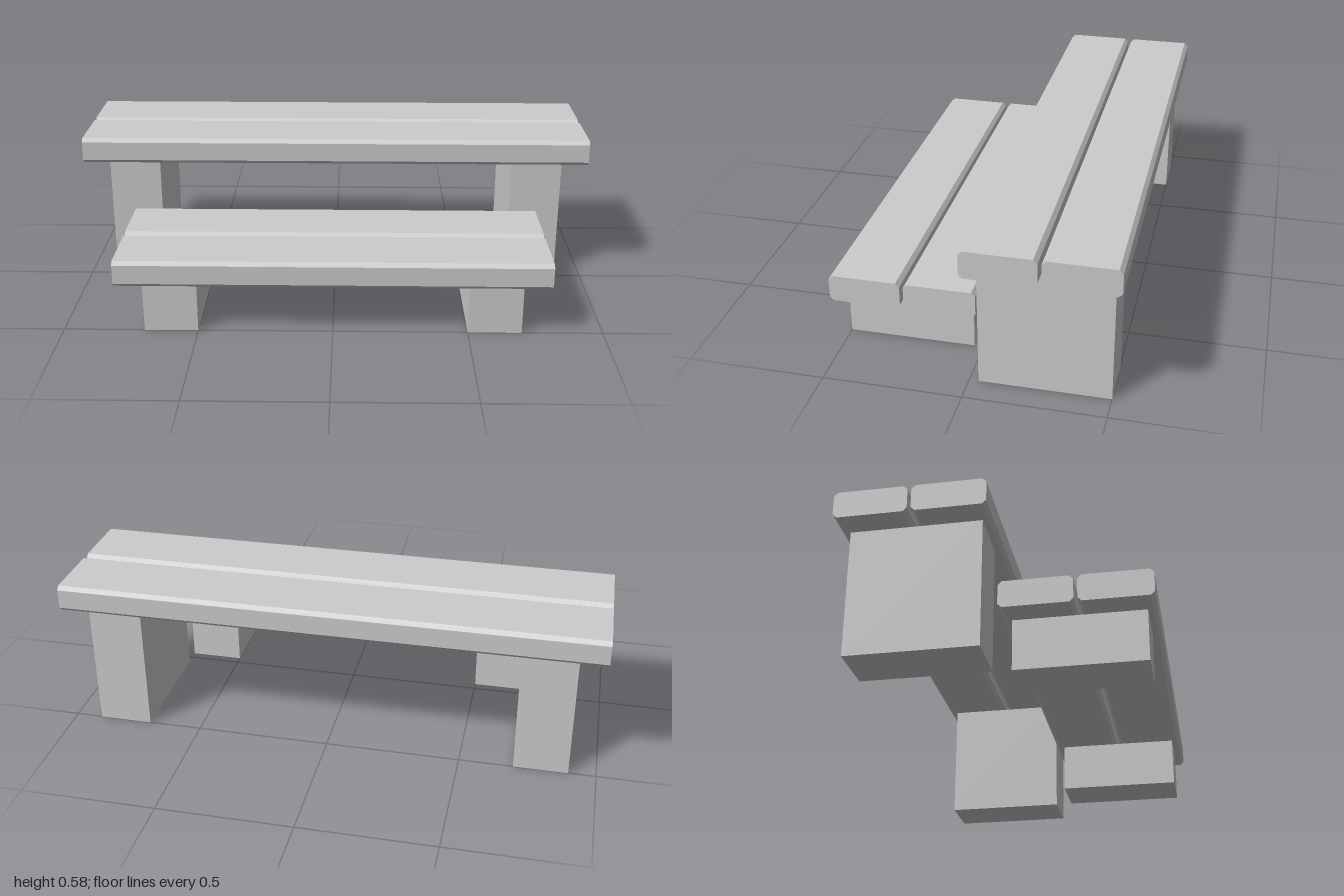
import * as THREE from 'three';

const stone = new THREE.MeshStandardMaterial({ color: 0xcccccc });
stone.name = 'pale grey';

// Plank running along x with chamfered long edges
function plank(name, length, y0, y1, z) {
  const a = 0.13, b = (y1 - y0) / 2, c = 0.014;
  const section = new THREE.Shape([
    [-a + c, -b], [a - c, -b], [a, -b + c], [a, b - c],
    [a - c, b], [-a + c, b], [-a, b - c], [-a, -b + c],
  ].map(([x, y]) => new THREE.Vector2(x, y)));
  const geometry = new THREE.ExtrudeGeometry(section, { depth: length, bevelEnabled: false });
  geometry.translate(0, 0, -length / 2).rotateY(Math.PI / 2);
  const mesh = new THREE.Mesh(geometry, stone);
  mesh.name = name;
  mesh.position.set(0, (y0 + y1) / 2, z);
  return mesh;
}

// Solid block support standing on the ground
function block(name, height, x, z) {
  const mesh = new THREE.Mesh(new THREE.BoxGeometry(0.2, height, 0.468), stone);
  mesh.name = name;
  mesh.position.set(x, height / 2, z);
  return mesh;
}

// Two planks side by side on a pair of blocks
function unit(name, { length, bottom, top, legX, z }) {
  const group = new THREE.Group();
  group.name = name;
  for (const [side, s] of [['front', 1], ['back', -1]]) {
    group.add(plank(`${side} plank of ${name}`, length, bottom, top, z + s * 0.1367));
  }
  for (const [side, s] of [['left', 1], ['right', -1]]) {
    group.add(block(`${side} leg of ${name}`, bottom, s * legX, z));
  }
  return group;
}

export function createModel() {
  const model = new THREE.Group();
  model.name = 'table and bench';
  model.add(
    unit('table', { length: 2, bottom: 0.477, top: 0.577, legX: 0.8, z: -0.267 }),
    unit('bench', { length: 1.6, bottom: 0.19, top: 0.29, legX: 0.6, z: 0.267 }),
  );
  return model;
}
